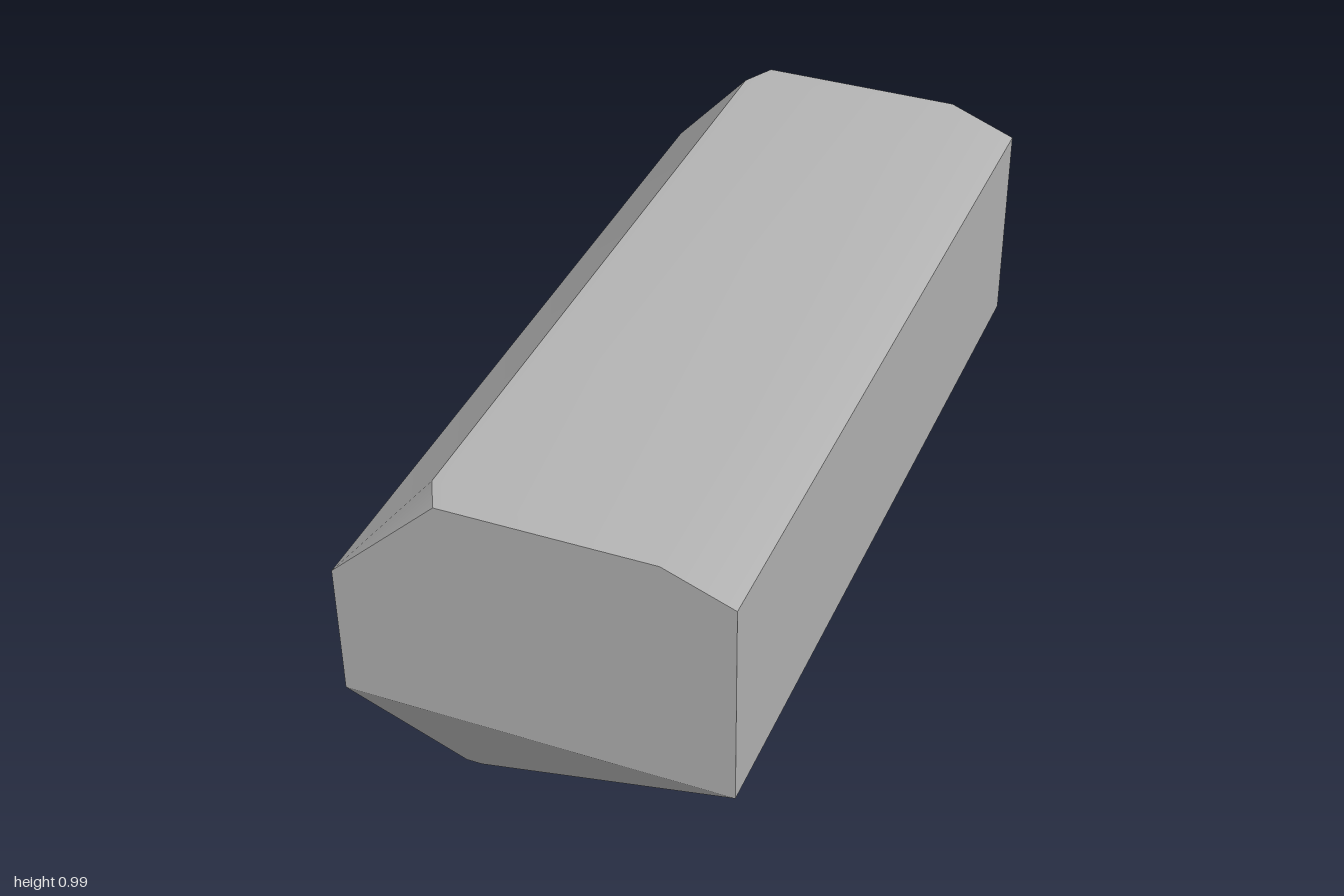
import * as THREE from 'three';
import { ConvexGeometry } from 'three/addons/geometries/ConvexGeometry.js';
import { toCreasedNormals } from 'three/addons/utils/BufferGeometryUtils.js';

// Half-profile corners as [x, y, z]; each is mirrored to the back
const corners = [
  // end face
  [-0.467, 0.393, 1], [0.467, 0.393, 1], [0.467, 0.922, 1],
  [0.3, 0.987, 1], [-0.205, 0.987, 1], [-0.467, 0.735, 1],
  // inset end of the upper ridge
  [-0.247, 0.987, 0.92],
  // narrow keel
  [-0.31, 0, 0.76], [-0.27, 0, 0.76],
];

export function createModel() {
  const group = new THREE.Group();
  group.name = 'facetedBlock';

  const grey = new THREE.MeshStandardMaterial({ color: 0xb2b2b2 });
  grey.name = 'grey';

  const points = corners.flatMap(([x, y, z]) => [
    new THREE.Vector3(x, y, z),
    new THREE.Vector3(x, y, -z),
  ]);

  // Shallow bevels shade smoothly, steeper edges stay sharp
  const geometry = toCreasedNormals(new ConvexGeometry(points), THREE.MathUtils.degToRad(30));
  const body = new THREE.Mesh(geometry, grey);
  body.name = 'body';
  group.add(body);
  return group;
}
